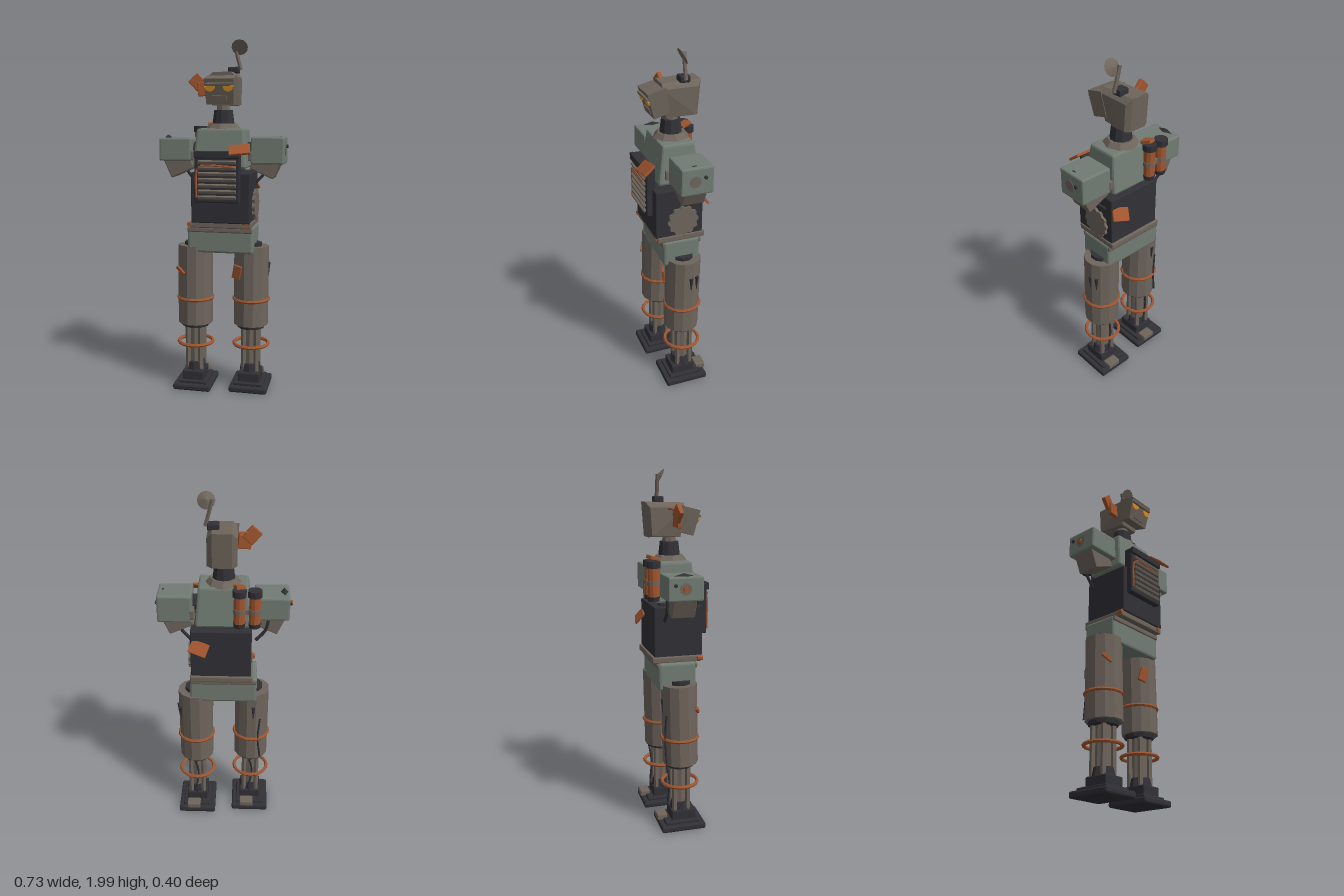
import * as THREE from 'three';
import { RoundedBoxGeometry } from 'three/addons/geometries/RoundedBoxGeometry.js';
import { ConvexGeometry } from 'three/addons/geometries/ConvexGeometry.js';

const paint = (color) => new THREE.MeshStandardMaterial({ color, flatShading: true });
const DARK = paint(0x303036), STEEL = paint(0x6e655c), SAGE = paint(0x717c73);
const RUST = paint(0xa0552e), EYE = paint(0xe59a2c);
const V = (x, y, z) => new THREE.Vector3(x, y, z);

function add(parent, name, geometry, material, pos = [0, 0, 0], rot = [0, 0, 0]) {
  const mesh = new THREE.Mesh(geometry, material);
  mesh.name = name;
  mesh.position.set(...pos);
  mesh.rotation.set(...rot);
  parent.add(mesh);
  return mesh;
}
const box = (w, h, d, bevel = 0.006) => new RoundedBoxGeometry(w, h, d, 1, bevel);
const cyl = (top, bottom, h, sides = 10) => new THREE.CylinderGeometry(top, bottom, h, sides);
const tube = (points, r) =>
  new THREE.TubeGeometry(new THREE.CatmullRomCurve3(points.map((p) => V(...p))), 10, r, 6);
// Convex solid from points given for the +x half
const mirrorHull = (half) =>
  new ConvexGeometry(half.flatMap(([x, y, z]) => [V(x, y, z), V(-x, y, z)]));

function buildLeg(side, z) {
  const leg = new THREE.Group();
  leg.name = side > 0 ? 'leftLeg' : 'rightLeg';
  leg.position.set(side * 0.162, 0, z);

  // Foot and ankle
  add(leg, 'sole', box(0.22, 0.036, 0.255, 0.01), DARK, [0, 0.018, 0]);
  add(leg, 'footPlate', box(0.17, 0.02, 0.2), DARK, [0, 0.042, 0]);
  add(leg, 'heelBlock', box(0.08, 0.035, 0.06), STEEL, [0.02, 0.055, -0.105]);
  add(leg, 'ankleBlock', box(0.125, 0.06, 0.14), DARK, [0, 0.075, 0.01]);
  add(leg, 'ankleCuff', cyl(0.055, 0.065, 0.05, 8), DARK, [0, 0.125, 0.005]);

  // Shin with a ring of pistons
  add(leg, 'shin', cyl(0.042, 0.042, 0.3, 8), STEEL, [0, 0.25, 0]);
  for (let i = 0; i < 4; i++) {
    const a = Math.PI / 4 + (i * Math.PI) / 2;
    add(leg, 'shinPiston', cyl(0.016, 0.016, 0.29, 6), STEEL,
      [Math.cos(a) * 0.053, 0.245, Math.sin(a) * 0.053]);
  }
  add(leg, 'shinCable', tube([[0.01, 0.38, -0.075], [-0.01, 0.27, -0.062], [0.01, 0.13, -0.066]], 0.006), DARK);

  // Thigh shell
  add(leg, 'kneeCollar', cyl(0.085, 0.08, 0.03), DARK, [0, 0.38, 0]);
  add(leg, 'thigh', cyl(0.1, 0.1, 0.46, 12), STEEL, [0, 0.615, 0], [-0.02, Math.PI / 12, 0]);
  add(leg, 'hipJoint', cyl(0.06, 0.06, 0.05), DARK, [0, 0.84, 0]);

  for (const y of [0.265, 0.535])
    add(leg, 'ring', new THREE.TorusGeometry(0.1, 0.01, 6, 20), RUST, [0, y, 0], [Math.PI / 2, 0, 0]);
  return leg;
}

function buildHead() {
  const head = new THREE.Group();
  head.name = 'head';
  head.position.x = 0.005;
  add(head, 'skull', mirrorHull([
    [0.05, 1.82, -0.172], [0.05, 1.815, 0.04], [0.077, 1.79, -0.15], [0.077, 1.79, 0.04],
    [0.077, 1.64, -0.14], [0.05, 1.635, -0.158], [0.06, 1.635, 0.02],
  ]), STEEL);
  add(head, 'face', mirrorHull([
    [0.082, 1.8, 0.025], [0.082, 1.775, 0.125], [0.075, 1.64, 0.088], [0.07, 1.665, 0],
  ]), STEEL);

  // Half-round eyes below the brow
  const lid = new THREE.Shape();
  lid.absarc(0, 0, 0.029, Math.PI, Math.PI * 2, false);
  const eye = new THREE.ExtrudeGeometry(lid, { depth: 0.012, bevelEnabled: false, curveSegments: 8 });
  for (const s of [-1, 1]) add(head, 'eye', eye, EYE, [s * 0.05, 1.738, 0.11], [0.25, 0, 0]);
  add(head, 'brow', box(0.15, 0.014, 0.02, 0.003), STEEL, [0, 1.746, 0.12], [0.25, 0, 0]);
  add(head, 'mouthPlate', box(0.08, 0.03, 0.008, 0.002), STEEL, [0, 1.672, 0.098], [0.25, 0, 0]);

  // Antenna
  add(head, 'antennaBase', box(0.06, 0.035, 0.055), DARK, [0.045, 1.83, -0.08]);
  add(head, 'antennaRod', tube([[0.085, 1.83, -0.078], [0.068, 1.89, -0.078], [0.05, 1.965, -0.08]], 0.011), STEEL);
  const dish = add(head, 'antennaDish', new THREE.ConeGeometry(0.046, 0.02, 12), STEEL,
    [0.08, 1.957, -0.068], [Math.PI * -0.5 + 0.5, 0, 0]);
  dish.material = STEEL;

  // Torn plates at the side of the head
  add(head, 'earPlateInner', box(0.07, 0.075, 0.025, 0.004), RUST, [-0.112, 1.725, -0.012], [0, 0.15, 0.1]);
  add(head, 'earPlateOuter', box(0.07, 0.078, 0.025, 0.004), RUST, [-0.15, 1.762, -0.018], [0, 0.15, 0.75]);
  add(head, 'earRod', tube([[-0.14, 1.77, -0.02], [-0.1, 1.785, -0.045], [-0.06, 1.78, -0.05]], 0.006), RUST);
  return head;
}

function buildTorso() {
  const torso = new THREE.Group();
  torso.name = 'torso';

  // Pelvis and belt
  add(torso, 'pelvis', box(0.375, 0.15, 0.21, 0.012), SAGE, [0, 0.89, -0.03]);
  add(torso, 'lowerBelt', box(0.37, 0.028, 0.225), STEEL, [0, 0.947, -0.03]);
  add(torso, 'upperBelt', box(0.345, 0.035, 0.275), STEEL, [0.01, 0.98, -0.027]);
  for (const x of [-0.165, 0.155]) add(torso, 'beltBolt', cyl(0.014, 0.014, 0.03, 6), RUST, [x, 0.982, 0.102], [Math.PI / 2, 0, 0]);

  // Abdomen, core and tapered chest
  add(torso, 'abdomen', box(0.33, 0.28, 0.27), DARK, [0.012, 1.132, -0.017]);
  add(torso, 'core', box(0.22, 0.06, 0.16), DARK, [0, 1.285, -0.03]);
  const chest = box(0.3, 0.22, 0.235, 0.014), p = chest.attributes.position;
  for (let i = 0; i < p.count; i++)
    if (p.getY(i) > 0) p.setXYZ(i, p.getX(i) * 0.89, p.getY(i), p.getZ(i) * 0.78);
  add(torso, 'chest', chest, SAGE, [0, 1.4, -0.027]);
  add(torso, 'collar', cyl(0.075, 0.1, 0.03, 8), STEEL, [0, 1.522, -0.03]);
  add(torso, 'neck', cyl(0.052, 0.062, 0.08, 10), DARK, [0, 1.57, -0.03]);
  add(torso, 'neckTop', cyl(0.035, 0.04, 0.05, 8), STEEL, [0, 1.625, -0.03]);

  // Radiator grille
  add(torso, 'grilleFrame', box(0.25, 0.28, 0.05), DARK, [0, 1.25, 0.125]);
  add(torso, 'grilleLip', box(0.25, 0.04, 0.02, 0.004), DARK, [0, 1.372, 0.153]);
  for (let i = 0; i < 7; i++)
    add(torso, 'grilleSlat', box(0.21, 0.018, 0.018, 0.003), STEEL, [0.002, 1.14 + i * 0.032, 0.156], [0.35, 0, 0]);
  add(torso, 'grillePipe', tube([[-0.113, 1.14, 0.155], [-0.113, 1.28, 0.155], [-0.1, 1.308, 0.16], [0.1, 1.308, 0.16]], 0.006), RUST);
  for (const x of [-0.163, 0.165])
    add(torso, 'sideStrap', box(0.02, 0.05, 0.2, 0.003), STEEL, [x, 1.36, -0.04]);

  // Notched disc on the left flank
  const gear = new THREE.Shape();
  for (let i = 0; i < 48; i++) {
    const r = i % 4 < 2 ? 0.088 : 0.079, a = (i / 48) * Math.PI * 2;
    gear[i ? 'lineTo' : 'moveTo'](Math.cos(a) * r, Math.sin(a) * r);
  }
  add(torso, 'flankGear', new THREE.ExtrudeGeometry(gear, { depth: 0.02, bevelEnabled: false }), STEEL,
    [0.172, 1.085, -0.035], [0, Math.PI / 2, 0]);

  // Torn plates on front and back
  add(torso, 'frontShard', box(0.115, 0.075, 0.014, 0.003), RUST, [0.125, 1.4, 0.155], [-0.9, 0, 0.15]);
  add(torso, 'backShard', box(0.1, 0.075, 0.014, 0.003), RUST, [0.13, 1.18, -0.17], [0.65, 0, 0.35]);

  // Canisters on the back
  for (const x of [-0.165, -0.085]) {
    const can = new THREE.Group();
    can.name = 'canister';
    can.position.set(x, 0, -0.157);
    add(can, 'canisterBody', cyl(0.031, 0.031, 0.18), RUST, [0, 1.41, 0]);
    add(can, 'canisterCap', cyl(0.038, 0.038, 0.035), DARK, [0, 1.502, 0]);
    add(can, 'canisterBand', cyl(0.035, 0.035, 0.022), STEEL, [0, 1.405, 0]);
    add(can, 'canisterFoot', cyl(0.034, 0.03, 0.025), DARK, [0, 1.322, 0]);
    torso.add(can);
  }
  add(torso, 'canisterBracket', box(0.11, 0.03, 0.06, 0.004), STEEL, [-0.12, 1.4, -0.14]);
  add(torso, 'canisterShard', box(0.05, 0.02, 0.06, 0.003), RUST, [-0.085, 1.528, -0.14], [0.3, 0.3, 0]);
  return torso;
}

function buildArm(s) {
  const arm = new THREE.Group();
  arm.name = s > 0 ? 'leftShoulder' : 'rightShoulder';
  const y = s > 0 ? 1.39 : 1.393, z = s > 0 ? -0.046 : -0.03;
  add(arm, 'shoulderJoint', cyl(0.045, 0.045, 0.1, 8), DARK, [s * 0.15, 1.39, -0.03], [0, 0, Math.PI / 2]);
  add(arm, 'shoulderBox', box(0.184, s > 0 ? 0.15 : 0.128, s > 0 ? 0.178 : 0.19, 0.009), SAGE, [s * 0.258, y, z]);
  add(arm, 'armStub', box(0.145, 0.14, 0.13), STEEL, [s * 0.25, 1.325, z], [0, 0, -s * 0.42]);
  // Spike on top, bolts and disc on the outer face
  add(arm, 'shoulderSpike', new THREE.OctahedronGeometry(1), DARK, [s * 0.322, y + 0.066, -0.036])
    .scale.set(s > 0 ? 0.015 : 0.02, 0.014, 0.05);
  add(arm, 'shoulderBolt', cyl(0.01, 0.01, 0.016, 6), DARK, [s * 0.352, y + 0.02, -0.087], [0, 0, Math.PI / 2]);
  add(arm, 'shoulderDisc', cyl(0.032, 0.032, 0.008), STEEL, [s * 0.348, y, -0.033], [0, 0, Math.PI / 2]);
  // Severed cables under the stub
  add(arm, 'armCable', tube([[s * 0.24, 1.32, -0.1], [s * 0.225, 1.26, -0.1], [s * 0.175, 1.2, -0.1]], 0.009), DARK);
  return arm;
}

export function createModel() {
  const robot = new THREE.Group();
  robot.name = 'robot';
  const left = buildLeg(1, -0.042), right = buildLeg(-1, -0.013);

  // Battle damage on the thighs
  add(left, 'thighShard', box(0.05, 0.08, 0.014, 0.003), RUST, [-0.068, 0.705, 0.09], [0.1, -0.3, -0.2]);
  add(right, 'thighShard', box(0.065, 0.02, 0.014, 0.003), RUST, [-0.068, 0.705, 0.082], [0, -0.5, -0.6]);
  for (const z of [-0.018, -0.055])
    add(left, 'thighSpike', cyl(0.012, 0.001, 0.085, 5), DARK, [z < -0.03 ? 0.085 : 0.097, 0.705, z]);
  add(right, 'thighSpike', cyl(0.012, 0.001, 0.085, 5), DARK, [-0.01, 0.72, -0.1]);
  add(right, 'thighCable', tube([[-0.05, 0.68, -0.088], [-0.04, 0.54, -0.093], [-0.055, 0.4, -0.088]], 0.006), DARK);

  const arms = [buildArm(1), buildArm(-1)];
  add(arms[1], 'shoulderPeg', cyl(0.015, 0.015, 0.025, 6), RUST, [-0.355, 1.393, -0.034], [0, 0, Math.PI / 2]);
  robot.add(left, right, buildTorso(), buildHead(), ...arms);
  return robot;
}
